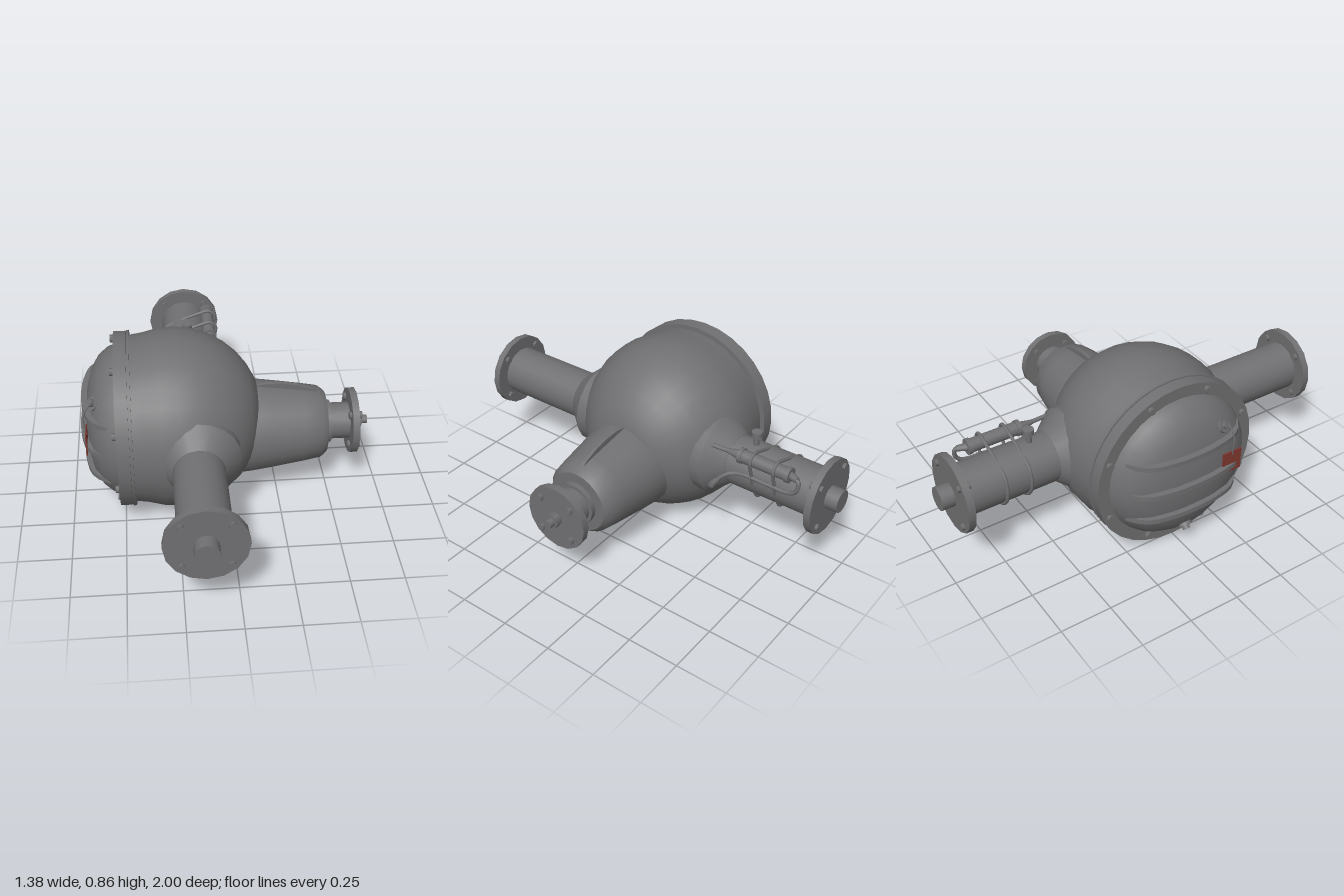
import * as THREE from 'three';
import { toCreasedNormals } from 'three/addons/utils/BufferGeometryUtils.js';

const V = (x, y, z) => new THREE.Vector3(x, y, z);
const UP = V(0, 1, 0);

export function createModel() {
  const model = new THREE.Group();
  model.name = 'axleHousing';
  const iron = new THREE.MeshStandardMaterial({ color: 0x707072 });
  iron.name = 'castIron';
  const red = new THREE.MeshStandardMaterial({ color: 0x80382f });
  red.name = 'tagRed';

  function add(name, geo, parent = model, mat = iron) {
    const m = new THREE.Mesh(geo, mat);
    m.name = name;
    parent.add(m);
    return m;
  }
  function group(name) {
    const g = new THREE.Group();
    g.name = name;
    model.add(g);
    return g;
  }
  // round bar between two points
  function bar(name, a, b, r0, r1 = r0, seg = 16, parent = model) {
    const d = b.clone().sub(a);
    const m = add(name, new THREE.CylinderGeometry(r1, r0, d.length(), seg), parent);
    m.position.copy(a).addScaledVector(d, 0.5);
    m.quaternion.setFromUnitVectors(UP, d.normalize());
    return m;
  }
  // profile of [radius, x] spun about the x axis
  function spinX(name, pts, y, seg, crease = 0.7) {
    const g = new THREE.LatheGeometry(pts.map(p => new THREE.Vector2(...p)), seg);
    g.rotateZ(-Math.PI / 2).translate(0, y, 0);
    return add(name, toCreasedNormals(g, crease));
  }
  function pipe(name, pts, r, closed = false, parent = model) {
    const c = new THREE.CatmullRomCurve3(pts, closed, 'centripetal');
    return add(name, new THREE.TubeGeometry(c, 48, r, 8, closed), parent);
  }

  const CY = 0.43;   // main axis height
  const AX = -0.155; // axle x position
  const NY = 0.358;  // pinion axis height

  // bulbous centre housing
  const bowl = [[0.395, -0.46]];
  for (let i = 0; i <= 8; i++) {
    const a = 1.9 - i * (1.9 - 0.4) / 8;
    bowl.push([0.428 * Math.sin(a), -0.25 + 0.428 * Math.cos(a)]);
  }
  bowl.push([0, 0.145]);
  spinX('centreHousing', bowl, CY, 28, 0.9);

  // cover rim: two stacked plates
  bar('coverRim', V(-0.518, CY, 0), V(-0.46, CY, 0), 0.416, 0.416, 32);
  bar('housingRim', V(-0.457, CY, 0), V(-0.445, CY, 0), 0.42, 0.42, 32);

  // domed rear cover
  const dome = [[0, -0.665], [0.09, -0.662], [0.17, -0.65], [0.25, -0.628], [0.31, -0.592], [0.345, -0.55], [0.36, -0.51]];
  spinX('rearCover', dome, CY, 32, 0.9);
  function domeX(r) {
    let i = 1;
    while (i < dome.length - 1 && dome[i][0] < r) i++;
    const [r0, x0] = dome[i - 1], [r1, x1] = dome[i];
    return x0 + (x1 - x0) * (r - r0) / (r1 - r0);
  }

  // three curved ribs across the cover
  const ribs = group('coverRibs');
  for (const dy of [-0.147, 0, 0.147]) {
    const s = new THREE.Shape(), half = 0.3, n = 16, back = [];
    for (let i = 0; i <= n; i++) {
      const z = -half + 2 * half * i / n;
      const x = domeX(Math.hypot(z, dy));
      const lift = 0.026 * Math.min(1, (half - Math.abs(z)) / 0.06);
      if (i) s.lineTo(x - lift, -z); else s.moveTo(x - lift, -z);
      back.unshift([x + 0.02, -z]);
    }
    back.forEach(p => s.lineTo(...p));
    const g = new THREE.ExtrudeGeometry(s, { depth: 0.024, bevelEnabled: false });
    g.rotateX(-Math.PI / 2).translate(0, CY + dy - 0.012, 0);
    add('coverRib', toCreasedNormals(g, 0.5), ribs);
  }

  // eight cover bolts
  const coverBolts = group('coverBolts');
  for (let i = 0; i < 8; i++) {
    const a = (i + 0.5) * Math.PI / 4;
    const y = CY + 0.385 * Math.sin(a), z = 0.385 * Math.cos(a);
    bar('coverBolt', V(-0.535, y, z), V(-0.515, y, z), 0.018, 0.018, 6, coverBolts);
  }

  // fill and drain plugs
  function plug(name, p, dir) {
    const g = group(name), d = dir.normalize();
    bar('plugBase', p.clone().addScaledVector(d, -0.02), p.clone().addScaledVector(d, 0.012), 0.034, 0.034, 12, g);
    bar('plugHead', p, p.clone().addScaledVector(d, 0.03), 0.02, 0.02, 6, g);
  }
  plug('fillPlug', V(-0.612, 0.635, 0.17), V(-0.75, 0.5, 0.4));
  plug('drainPlug', V(-0.597, 0.135, 0), V(-0.75, -0.65, 0));

  // tag hung from the fill plug by a wire
  pipe('tagWire', [V(-0.63, 0.65, 0.19), V(-0.66, 0.6, 0.2), V(-0.665, 0.55, 0.2), V(-0.658, 0.49, 0.2)], 0.004);
  const tag = add('tag', new THREE.BoxGeometry(0.006, 0.11, 0.1), model, red);
  tag.position.set(-0.658, 0.455, 0.2);

  // axle tubes, flares, end flanges
  for (const s of [1, -1]) {
    const side = group(s > 0 ? 'frontAxle' : 'rearAxle');
    const at = z => V(AX, CY, s * z);
    bar('axleTube', at(0.2), at(0.92), 0.12, 0.12, 24, side);
    bar('flareCollar', at(0.26), at(0.365), 0.2, 0.2, 20, side);
    bar('flareCone', at(0.365), at(0.455), 0.2, 0.122, 20, side);
    bar('endFlange', at(0.905), at(0.938), 0.184, 0.184, 16, side);
    bar('axleStub', at(0.93), at(1), 0.055, 0.055, 16, side);
    for (const bx of [-1, 1]) for (const by of [-1, 1]) {
      const p = z => V(AX + bx * 0.106, CY + by * 0.106, s * z);
      bar('flangeBolt', p(0.89), p(0.952), 0.018, 0.018, 6, side);
    }
  }

  // pinion nose
  spinX('pinionNose', [[0.232, 0], [0.228, 0.1], [0.215, 0.2], [0.19, 0.37], [0.176, 0.45], [0.152, 0.48], [0, 0.48]], NY, 24);
  const top = [[0.08, 0.2], [0.14, 0.226], [0.2, 0.235], [0.27, 0.232], [0.34, 0.22], [0.42, 0.19], [0.475, 0.148]];
  const fin = new THREE.Shape([...top, ...top.map(([x, y]) => [x, -y]).reverse()].map(p => new THREE.Vector2(...p)));
  const finGeo = new THREE.ExtrudeGeometry(fin, { depth: 0.016, bevelEnabled: false });
  add('noseFins', finGeo.translate(0, NY, -0.008));

  // pinion neck, flange and nut
  const nose = (name, x0, x1, r, seg) => bar(name, V(x0, NY, 0), V(x1, NY, 0), r, r, seg);
  nose('pinionCollar', 0.47, 0.505, 0.105, 16);
  nose('pinionNeck', 0.5, 0.6, 0.088, 20);
  nose('pinionFlange', 0.597, 0.63, 0.16, 16);
  nose('pinionNut', 0.625, 0.662, 0.036, 6);
  nose('pinionTip', 0.66, 0.69, 0.022, 10);
  const pinionBolts = group('pinionBolts');
  for (const by of [-1, 1]) for (const bz of [-1, 1])
    bar('pinionBolt', V(0.585, NY + by * 0.084, bz * 0.084), V(0.647, NY + by * 0.084, bz * 0.084), 0.018, 0.018, 6, pinionBolts);

  // locking cylinder strapped on the rear tube
  const lock = group('lockCylinder');
  const LX = -0.04, LY = 0.55;
  const L = z => V(LX, LY, z);
  bar('cylinderBody', L(-0.54), L(-0.79), 0.032, 0.032, 16, lock);
  bar('cylinderCap', L(-0.53), L(-0.55), 0.037, 0.037, 16, lock);
  bar('cylinderCap', L(-0.775), L(-0.795), 0.037, 0.037, 16, lock);
  bar('cylinderTaper', L(-0.53), V(-0.035, LY, -0.46), 0.025, 0.01, 12, lock);
  bar('cylinderRod', V(-0.035, LY, -0.47), V(-0.03, LY, -0.38), 0.01, 0.01, 8, lock);
  bar('cylinderNozzle', L(-0.79), V(-0.025, LY, -0.835), 0.02, 0.014, 10, lock);
  pipe('airLine', [V(-0.025, LY, -0.82), V(-0.022, 0.545, -0.842), V(-0.018, 0.5, -0.84), V(-0.018, 0.473, -0.81),
    V(-0.02, 0.465, -0.7), V(-0.022, 0.463, -0.57), V(-0.015, 0.452, -0.51), V(0.02, 0.446, -0.482), V(0.08, 0.445, -0.476)], 0.01, false, lock);
  bar('airFitting', V(0.07, 0.445, -0.476), V(0.11, 0.445, -0.476), 0.015, 0.015, 8, lock);

  // straps looping round both the tube and the cylinder
  for (const z of [-0.605, -0.725]) {
    const loop = [];
    for (let i = 0; i <= 8; i++) {
      const a = 2.55 + i * (5.3 - 2.55) / 8;
      loop.push(V(AX + 0.125 * Math.cos(a), CY + 0.125 * Math.sin(a), z));
    }
    for (let i = 0; i <= 5; i++) {
      const a = -0.5 + i * 2.6 / 5;
      loop.push(V(LX + 0.04 * Math.cos(a), LY + 0.04 * Math.sin(a), z));
    }
    pipe('strap', loop, 0.008, true, lock);
  }

  // breather vent on top of the rear tube
  bar('ventStem', V(AX, 0.53, -0.545), V(AX, 0.6, -0.545), 0.014, 0.014, 8);
  bar('ventCap', V(AX, 0.594, -0.545), V(AX, 0.62, -0.545), 0.026, 0.026, 10);

  return model;
}
